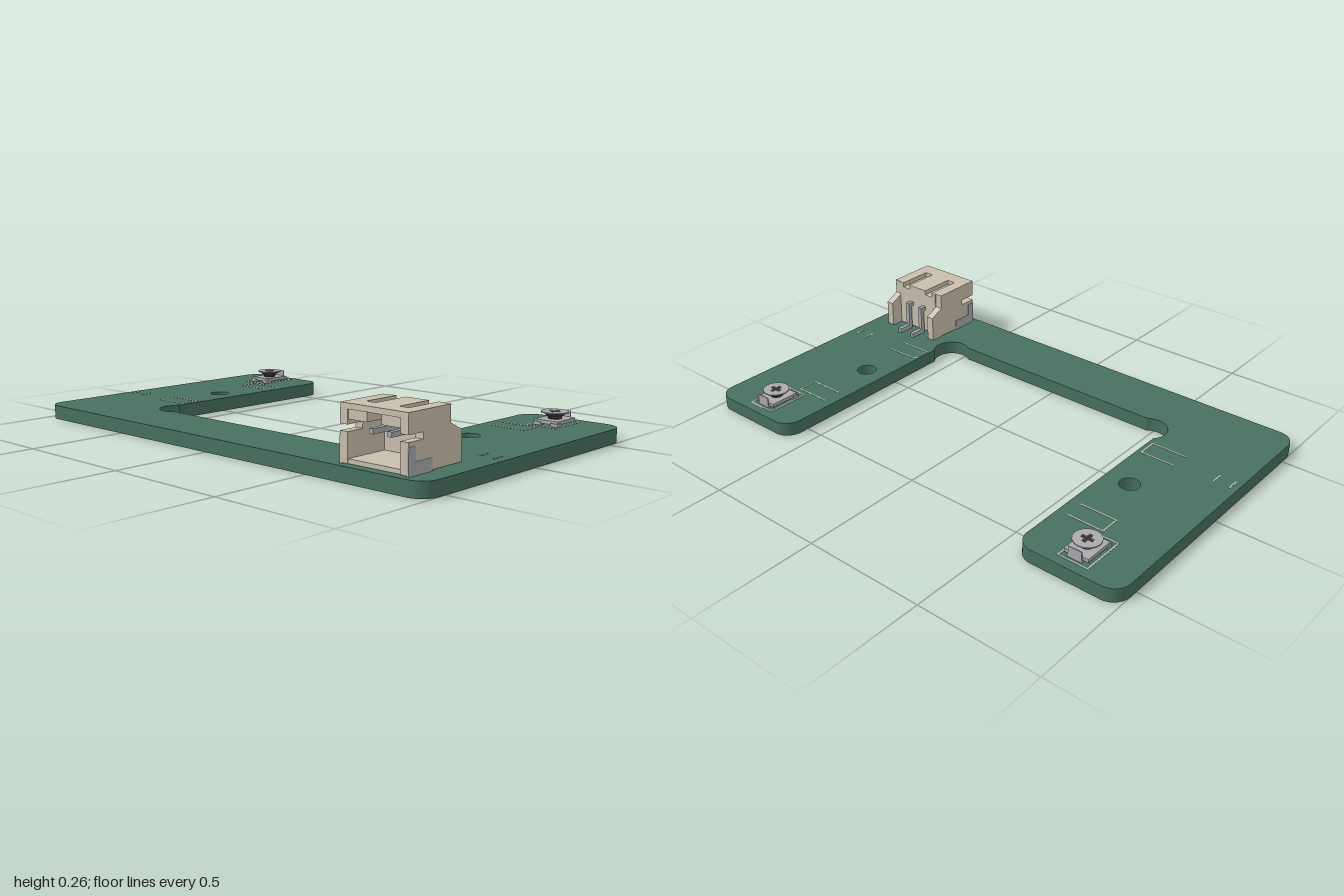
import * as THREE from 'three';

const mat = (color) => new THREE.MeshStandardMaterial({ color });
const TOP = 0.056; // upper face of the board
const PI = Math.PI;

export function createModel() {
  const model = new THREE.Group();
  const green = mat(0x47705f), cream = mat(0xc8bfae), metal = mat(0xaaaaae);
  const dark = mat(0x353537), silk = mat(0xb8bab5);

  const add = (parent, name, geo, material) => {
    const m = new THREE.Mesh(geo, material);
    m.name = name;
    parent.add(m);
    return m;
  };
  // box given by its limits on each axis
  const box = (parent, name, material, x0, x1, y0, y1, z0, z1) =>
    add(parent, name, new THREE.BoxGeometry(x1 - x0, y1 - y0, z1 - z0)
      .translate((x0 + x1) / 2, (y0 + y1) / 2, (z0 + z1) / 2), material);
  const poly = (pts) => new THREE.Shape(pts.map(([a, b]) => new THREE.Vector2(a, b)));
  // plan outline (x, z), extruded down from y = top
  const slab = (shape, top, depth) =>
    new THREE.ExtrudeGeometry(shape, { depth, bevelEnabled: false, curveSegments: 20 })
      .rotateX(PI / 2).translate(0, top, 0);
  // side outline (z, y), extruded from x0 to x1
  const sidePlate = (shape, x0, x1) =>
    new THREE.ExtrudeGeometry(shape, { depth: x1 - x0, bevelEnabled: false })
      .rotateY(-PI / 2).translate(x1, 0, 0);

  // U-shaped board with rounded corners and relieved inner corners
  const r = 0.07, e = 0.535, rr = 0.075;
  const a0 = Math.atan2(-0.051, 0.055), a1 = Math.atan2(0.06, 0.045);
  const outline = new THREE.Shape();
  outline.absarc(-0.93, -e, r, PI, 1.5 * PI, false);
  outline.absarc(-0.645, -e, r, 1.5 * PI, 2 * PI, false);
  outline.absarc(-0.52, 0.3, rr, PI - a0, a1, true);
  outline.absarc(0.52, 0.3, rr, PI - a1, a0, true);
  outline.absarc(0.645, -e, r, PI, 1.5 * PI, false);
  outline.absarc(0.93, -e, r, 1.5 * PI, 2 * PI, false);
  outline.absarc(0.93, e, r, 0, PI / 2, false);
  outline.absarc(-0.93, e, r, PI / 2, PI, false);
  outline.closePath();
  for (const x of [-0.68, 0.675]) {
    const hole = new THREE.Path();
    hole.absarc(x, -0.07, 0.04, 0, 2 * PI, true);
    outline.holes.push(hole);
  }
  add(model, 'board', slab(outline, TOP, TOP), green);

  // printed outlines: rectangles with chosen sides (l, r, t, b)
  const marks = new THREE.Group();
  marks.name = 'printedOutlines';
  model.add(marks);
  const w = 0.003;
  const mark = (x0, x1, z0, z1, sides) => {
    const line = (xa, xb, za, zb) =>
      box(marks, 'outlineStroke', silk, xa - w, xb + w, TOP - 0.001, TOP + 0.001, za - w, zb + w);
    if (sides.includes('l')) line(x0, x0, z0, z1);
    if (sides.includes('r')) line(x1, x1, z0, z1);
    if (sides.includes('t')) line(x0, x1, z0, z0);
    if (sides.includes('b')) line(x0, x1, z1, z1);
  };
  mark(-0.77, -0.62, -0.365, -0.285, 'ltb');
  mark(0.62, 0.765, -0.365, -0.285, 'rtb');
  mark(-0.74, -0.595, 0.135, 0.215, 'rtb');
  mark(0.59, 0.735, 0.135, 0.215, 'ltb');
  mark(-0.97, -0.905, 0.14, 0.185, 'lr');
  mark(0.9, 0.96, 0.14, 0.185, 'lr');
  mark(-0.85, -0.73, -0.565, -0.39, 'lrtb');
  mark(0.715, 0.835, -0.565, -0.39, 'lrtb');

  // trimmers: base, contacts, flared rotor and slotted cap
  for (const x of [-0.788, 0.776]) {
    const t = new THREE.Group();
    t.name = 'trimmer';
    t.position.set(x, TOP, -0.482);
    model.add(t);
    box(t, 'trimmerBase', metal, -0.05, 0.05, 0.006, 0.02, -0.062, 0.062);
    for (const s of [-1, 1]) {
      box(t, 'trimmerContact', metal, s * 0.037 - 0.016, s * 0.037 + 0.016, 0, 0.012, 0.04, 0.068);
    }
    box(t, 'trimmerContact', metal, -0.03, 0.03, 0, 0.012, -0.07, -0.04);
    box(t, 'wiperPost', metal, -0.028, 0.028, 0.01, 0.043, -0.07, -0.066);
    const rotor = [[0, 0.018], [0.026, 0.018], [0.026, 0.026], [0.041, 0.04], [0.041, 0.044], [0, 0.044]]
      .map(([a, b]) => new THREE.Vector2(a, b));
    add(t, 'trimmerRotor', new THREE.LatheGeometry(rotor, 24), dark);
    const cap = new THREE.Shape();
    cap.absarc(0, 0, 0.053, PI / 8, 2 * PI + PI / 8, false);
    const slot = new THREE.Path();
    const a = 0.007, b = 0.024;
    [[a, a], [a, b], [-a, b], [-a, a], [-b, a], [-b, -a], [-a, -a], [-a, -b], [a, -b], [a, -a], [b, -a], [b, a]]
      .forEach(([px, pz], i) => (i ? slot.lineTo(px, pz) : slot.moveTo(px, pz)));
    slot.closePath();
    cap.holes.push(slot);
    add(t, 'trimmerCap', new THREE.ExtrudeGeometry(cap, { depth: 0.005, bevelEnabled: false, curveSegments: 8 })
      .rotateX(PI / 2).translate(0, 0.048, 0), metal);
  }

  // connector, built around its own centre line
  const c = new THREE.Group();
  c.name = 'connector';
  c.position.x = 0.778;
  model.add(c);
  const W = 0.14, wall = 0.032, inner = W - wall, y0 = 0.06, y1 = 0.258;
  const cheek = poly([[0.583, y0], [0.583, 0.165], [0.51, 0.165], [0.51, 0.188], [0.583, 0.188],
    [0.583, y1], [0.37, y1], [0.37, 0.197], [0.31, 0.168], [0.31, y0]]);
  const tab = poly([[0.583, y0 - 0.004], [0.583, 0.15], [0.55, 0.15], [0.55, 0.1], [0.463, 0.1], [0.463, y0 - 0.004]]);
  for (const s of [-1, 1]) {
    const span = (p, q) => (s > 0 ? [p, q] : [-q, -p]);
    add(c, 'connectorSide', sidePlate(cheek, ...span(inner, W)), cream);
    add(c, 'solderTab', sidePlate(tab, ...span(W - 0.006, W + 0.002)), metal);
    box(c, 'connectorRoofLedge', cream, ...span(0.03, inner), 0.205, 0.238, 0.37, 0.58);
    // contact pin: straight inside, bent down and out at the back
    const [p0, p1] = span(0.029, 0.047);
    box(c, 'contactPin', metal, p0, p1, 0.162, 0.18, 0.34, 0.55);
    box(c, 'contactPinLeg', metal, p0, p1, TOP, 0.18, 0.335, 0.353);
    box(c, 'contactPinFoot', metal, p0, p1, TOP, 0.076, 0.278, 0.353);
  }
  box(c, 'connectorFloor', cream, -inner, inner, y0, 0.076, 0.365, 0.58);
  box(c, 'connectorBack', cream, -inner, inner, y0, 0.238, 0.365, 0.4);
  // roof with two grooves open to the back
  const roof = poly([[-inner, 0.365], [-0.088, 0.365], [-0.088, 0.517], [-0.048, 0.517], [-0.048, 0.365],
    [0.048, 0.365], [0.048, 0.517], [0.088, 0.517], [0.088, 0.365], [inner, 0.365], [inner, 0.583], [-inner, 0.583]]);
  add(c, 'connectorRoof', slab(roof, y1, 0.02), cream);

  return model;
}
